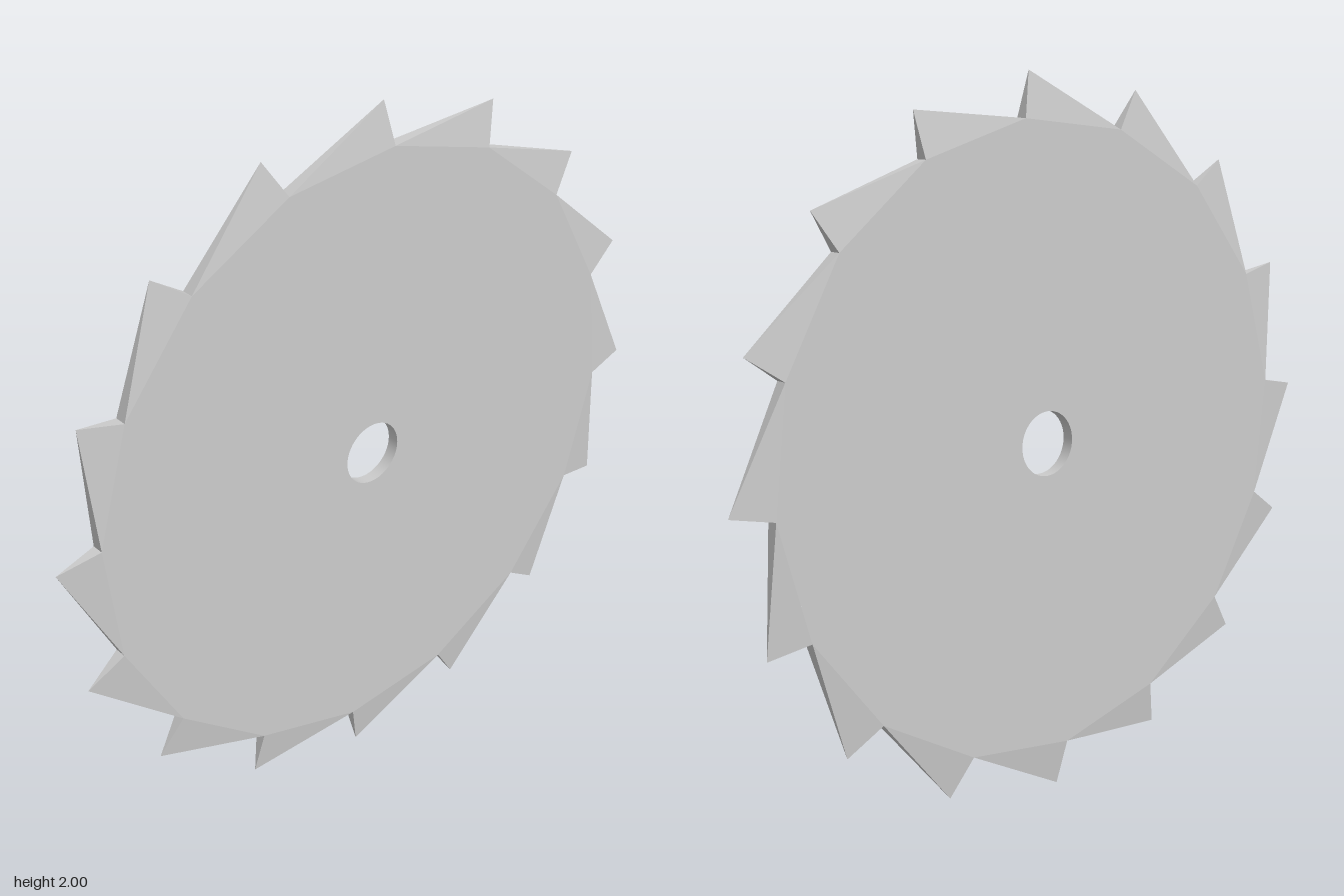
import * as THREE from 'three';

const TEETH = 16, STEP = (Math.PI * 2) / TEETH;
const ROOT_R = 0.879, TIP_R = 1.001, BORE_R = 0.09, HALF = 0.0175;
const ROOT_A = THREE.MathUtils.degToRad(85.1);
const TIP_A = THREE.MathUtils.degToRad(87.1);

const polar = (r, a, z = 0) => [r * Math.cos(a), r * Math.sin(a), z];

export function createModel() {
  const blade = new THREE.Group();
  blade.name = 'circularSawBlade';
  const steel = new THREE.MeshStandardMaterial({ color: 0xcccccc, flatShading: true });
  const smooth = new THREE.MeshStandardMaterial({ color: 0xcccccc, side: THREE.BackSide });

  const add = (name, geometry, material = steel) => {
    const mesh = new THREE.Mesh(geometry, material);
    mesh.name = name;
    blade.add(mesh);
    return mesh;
  };

  // Flat faces: a polygon through the tooth roots, with the arbor hole cut out
  const outline = new THREE.Shape();
  for (let i = 0; i < TEETH; i++) {
    const [x, y] = polar(ROOT_R, ROOT_A + i * STEP);
    if (i) outline.lineTo(x, y);
    else outline.moveTo(x, y);
  }
  outline.closePath();
  outline.holes.push(new THREE.Path().absarc(0, 0, BORE_R, 0, Math.PI * 2, true));
  const face = new THREE.ShapeGeometry(outline, 24);
  add('frontFace', face.clone().translate(0, 0, HALF));

  // Back face: same outline, turned to face -z
  const back = face.clone().translate(0, 0, -HALF);
  const index = back.index.array;
  for (let i = 0; i < index.length; i += 3) {
    [index[i], index[i + 1]] = [index[i + 1], index[i]];
  }
  const normals = back.attributes.normal;
  for (let i = 0; i < normals.count; i++) normals.setZ(i, -1);
  add('backFace', back);

  // Inner wall of the arbor hole
  const bore = new THREE.CylinderGeometry(BORE_R, BORE_R, HALF * 2, 48, 1, true);
  add('arborHole', bore.rotateX(Math.PI / 2), smooth);

  // Raked teeth: full thickness at the root, tapering to a point at the tip
  const near = (z) => polar(ROOT_R, ROOT_A, z);
  const far = (z) => polar(ROOT_R, ROOT_A + STEP, z);
  const tip = polar(TIP_R, TIP_A);
  const corners = [
    near(HALF), tip, far(HALF), // front flank
    near(-HALF), far(-HALF), tip, // back flank
    far(HALF), tip, far(-HALF), // long sloping back
    near(HALF), near(-HALF), tip, // cutting face
  ];
  const tooth = new THREE.BufferGeometry();
  tooth.setAttribute('position', new THREE.Float32BufferAttribute(corners.flat(), 3));
  tooth.computeVertexNormals();
  for (let i = 0; i < TEETH; i++) add('tooth' + (i + 1), tooth).rotation.z = i * STEP;

  // Stand the blade on the ground
  blade.position.y = 1;
  const model = new THREE.Group();
  model.name = 'sawBlade';
  model.add(blade);
  return model;
}
